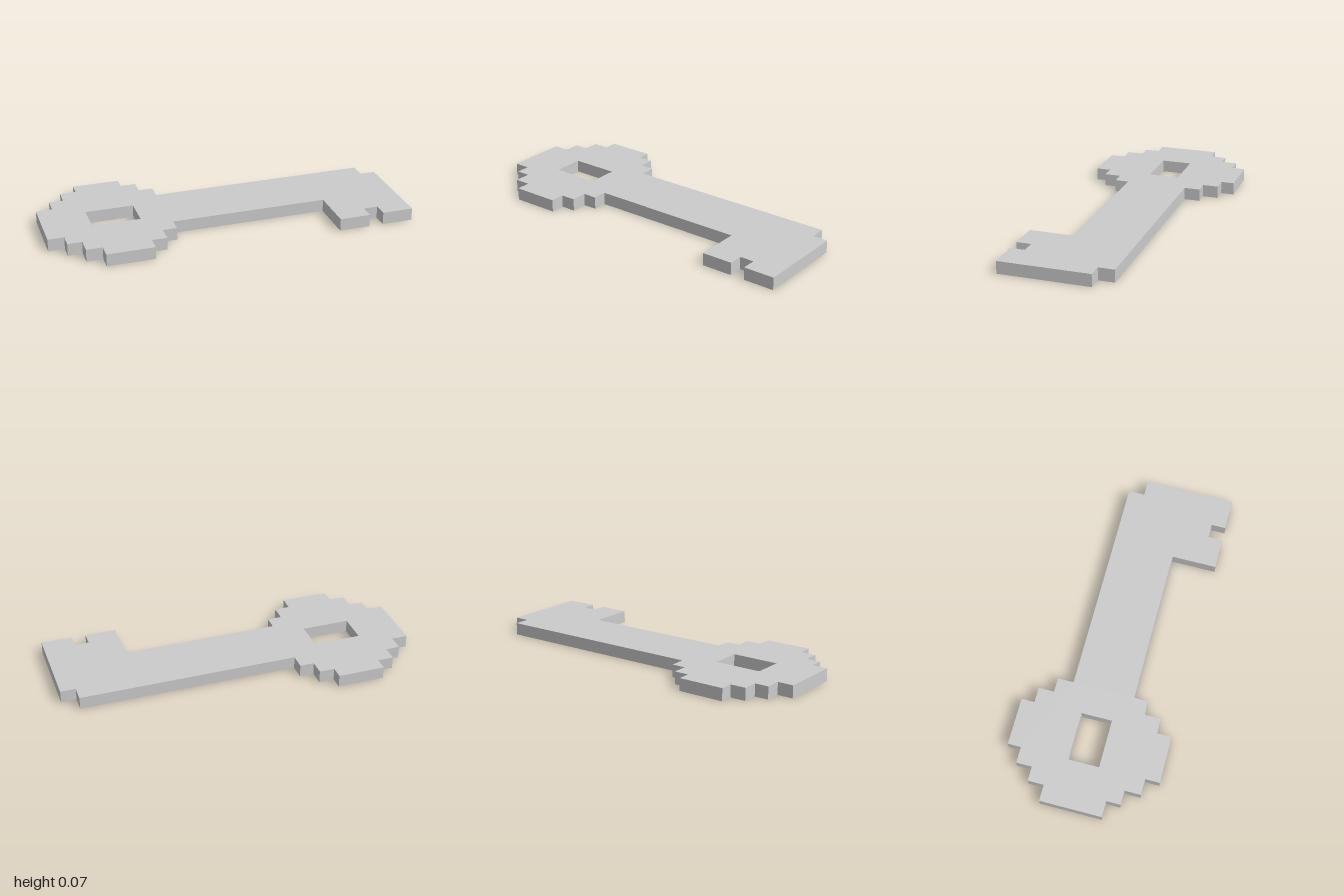
import * as THREE from 'three';

const THICKNESS = 0.07;

// Points are plan coordinates [x, z]; the shape is drawn with y = -z.
const toPlan = (points) => points.map(([x, z]) => new THREE.Vector2(x, -z));

export function createModel() {
  const group = new THREE.Group();
  group.name = 'key';

  // Stepped outline: bow on the left, shaft, and bit with two teeth on the right
  const outline = new THREE.Shape(toPlan([
    // back edge of the bow
    [-1, -0.175], [-0.91, -0.175], [-0.91, -0.265], [-0.83, -0.265],
    [-0.83, -0.353], [-0.74, -0.353], [-0.74, -0.427], [-0.475, -0.427],
    [-0.475, -0.353], [-0.39, -0.353], [-0.39, -0.265], [-0.31, -0.265],
    // shaft back and notched tip
    [-0.31, -0.175], [0.915, -0.175], [0.915, -0.084], [1, -0.084],
    // teeth
    [1, 0.427], [0.825, 0.427], [0.825, 0.345], [0.745, 0.345],
    [0.745, 0.427], [0.57, 0.427], [0.57, 0.173],
    // front edge of the bow
    [-0.31, 0.173], [-0.31, 0.253], [-0.39, 0.253], [-0.39, 0.345],
    [-0.475, 0.345], [-0.475, 0.427], [-0.74, 0.427], [-0.74, 0.345],
    [-0.83, 0.345], [-0.83, 0.253], [-0.91, 0.253], [-0.91, 0.173], [-1, 0.173],
  ]));

  // Rectangular hole through the bow
  outline.holes.push(new THREE.Path(toPlan([
    [-0.74, -0.085], [-0.74, 0.088], [-0.47, 0.088], [-0.47, -0.085],
  ])));

  // Flat plate lying on the ground
  const geometry = new THREE.ExtrudeGeometry(outline, { depth: THICKNESS, bevelEnabled: false });
  geometry.rotateX(-Math.PI / 2);
  const body = new THREE.Mesh(
    geometry,
    new THREE.MeshStandardMaterial({ color: 0xcccccc, flatShading: true })
  );
  body.name = 'keyBody';
  group.add(body);

  return group;
}
